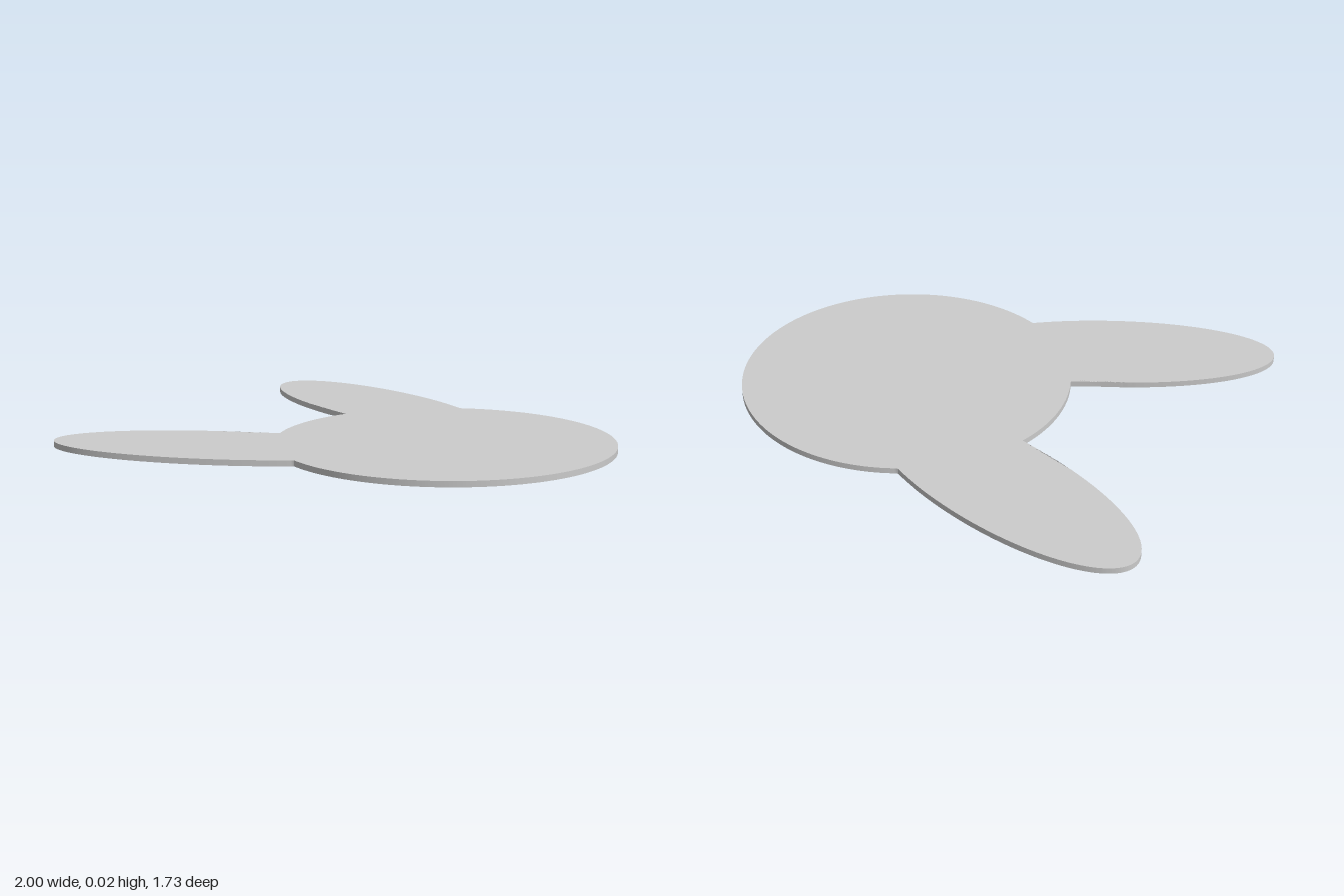
import * as THREE from 'three';
import { toCreasedNormals } from 'three/addons/utils/BufferGeometryUtils.js';

const THICKNESS = 0.023;
const SAMPLES = 480;

// Ellipses in the ground plane (x, z): centre, half axes, turn of the long axis
const head = { x: 0.33, z: 0, a: 0.67, b: 0.67, turn: 0 };
const ears = [
  { x: -0.315, z: -0.527, a: 0.67, b: 0.25, turn: THREE.MathUtils.degToRad(22) },
  { x: -0.372, z: 0.523, a: 0.67, b: 0.25, turn: THREE.MathUtils.degToRad(-22) },
];

function pointOn(e, t) {
  return new THREE.Vector2(e.a * Math.cos(t), e.b * Math.sin(t))
    .rotateAround(new THREE.Vector2(), e.turn)
    .add(new THREE.Vector2(e.x, e.z));
}

function inside(e, p) {
  const d = new THREE.Vector2(p.x - e.x, p.y - e.z).rotateAround(new THREE.Vector2(), -e.turn);
  return (d.x / e.a) ** 2 + (d.y / e.b) ** 2 < 1 - 1e-9;
}

// Joint outline of all ellipses, ordered by angle around the head centre
function joinedOutline(ellipses, centre) {
  const points = [];
  for (const e of ellipses) {
    for (let i = 0; i < SAMPLES; i++) {
      const p = pointOn(e, (i / SAMPLES) * Math.PI * 2);
      if (!ellipses.some((other) => other !== e && inside(other, p))) points.push(p);
    }
  }
  const angle = (p) => Math.atan2(p.y - centre.z, p.x - centre.x);
  return points.sort((p, q) => angle(p) - angle(q));
}

export function createModel() {
  const group = new THREE.Group();
  group.name = 'earedPlate';

  // Flat plate: round head with two long ears, laid on the ground
  const shape = new THREE.Shape(joinedOutline([head, ...ears], head));
  const geometry = new THREE.ExtrudeGeometry(shape, { depth: THICKNESS, bevelEnabled: false });
  geometry.rotateX(Math.PI / 2);
  geometry.translate(0, THICKNESS, 0);

  const plate = new THREE.Mesh(
    toCreasedNormals(geometry, Math.PI / 6),
    new THREE.MeshStandardMaterial({ color: 0xcccccc })
  );
  plate.name = 'headWithEars';
  group.add(plate);
  return group;
}
